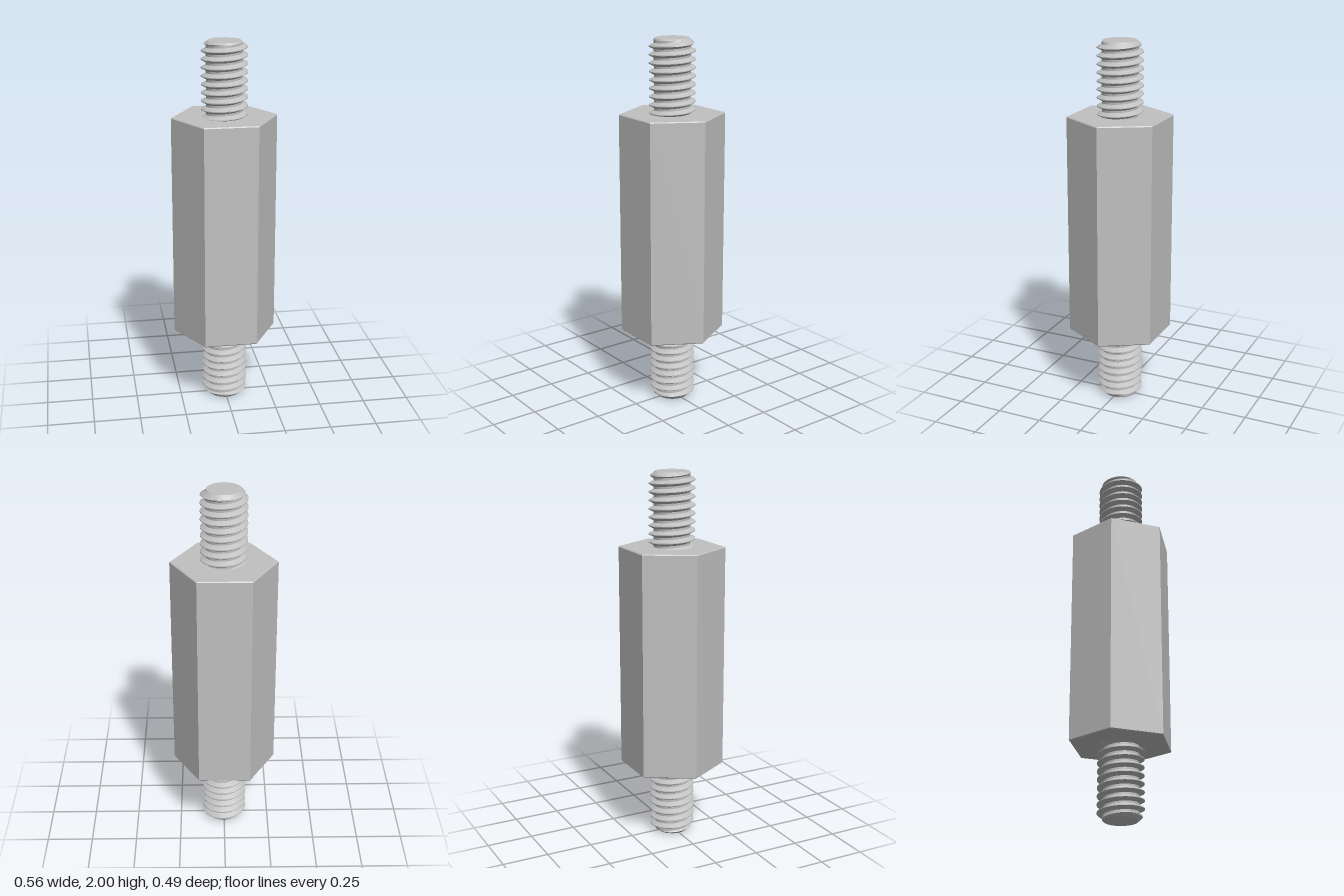
import * as THREE from 'three';
import { toCreasedNormals } from 'three/addons/utils/BufferGeometryUtils.js';

const CENTER = 1;
const BODY_HALF = 0.606;   // half height of the hexagonal body
const HEX_R = 0.281;       // across corners / 2
const CHAMFER = 0.005;
const CREST_R = 0.122, ROOT_R = 0.096, TIP_R = 0.088;
const PITCH = 0.0437;

// Hexagonal prism with a fine chamfer on both ends
function hexBody() {
  const profile = [
    [0, -BODY_HALF], [HEX_R - CHAMFER, -BODY_HALF], [HEX_R, -BODY_HALF + CHAMFER],
    [HEX_R, BODY_HALF - CHAMFER], [HEX_R - CHAMFER, BODY_HALF], [0, BODY_HALF],
  ].map(([r, y]) => new THREE.Vector2(r, y));
  const geo = new THREE.LatheGeometry(profile, 6).toNonIndexed();
  geo.computeVertexNormals();
  return geo.rotateY(Math.PI / 6);
}

// Right-handed helical thread from y0 up to a chamfered tip at y1
function threadGeometry(y0, y1, segments = 64) {
  // One pitch of the thread: [fraction of pitch, radius]
  const mid = (CREST_R + ROOT_R) / 2;
  const tooth = [[0, CREST_R], [0.1, CREST_R], [0.26, mid], [0.42, ROOT_R], [0.68, ROOT_R], [0.84, mid]];
  const rows = [];
  const turns = Math.ceil((y1 - y0) / PITCH) + 1;
  for (let k = -1; k < turns; k++) {
    for (const [f, r] of tooth) rows.push([y0 + (k + f) * PITCH, r]);
  }

  const positions = [], index = [];
  for (const [base, r] of rows) {
    for (let i = 0; i <= segments; i++) {
      const a = (i / segments) * Math.PI * 2;
      const y = THREE.MathUtils.clamp(base + (i / segments) * PITCH, y0, y1);
      const radius = Math.min(r, TIP_R + (y1 - y) * 1.1);
      positions.push(radius * Math.cos(a), y, -radius * Math.sin(a));
    }
  }
  const height = (v) => positions[v * 3 + 1];
  const addFace = (a, b, c) => {
    const ys = [height(a), height(b), height(c)];
    if (Math.max(...ys) - Math.min(...ys) > 1e-7) index.push(a, b, c);
  };
  const stride = segments + 1;
  for (let j = 0; j < rows.length - 1; j++) {
    for (let i = 0; i < segments; i++) {
      const a = j * stride + i, b = a + 1, c = a + stride, d = c + 1;
      addFace(a, b, d);
      addFace(a, d, c);
    }
  }
  const geo = new THREE.BufferGeometry();
  geo.setAttribute('position', new THREE.Float32BufferAttribute(positions, 3));
  geo.setIndex(index);
  return toCreasedNormals(geo, 0.5);
}

// Threaded stud with its flat end face
function stud(name, material) {
  const group = new THREE.Group();
  group.name = name;
  const thread = new THREE.Mesh(threadGeometry(BODY_HALF - 0.03, 1), material);
  thread.name = 'thread';
  const tip = new THREE.Mesh(new THREE.CircleGeometry(TIP_R, 64).rotateX(-Math.PI / 2), material);
  tip.name = 'endFace';
  tip.position.y = 1;
  group.add(thread, tip);
  group.position.y = CENTER;
  return group;
}

export function createModel() {
  const steel = new THREE.MeshStandardMaterial({ color: 0xc0c0c0 });
  steel.name = 'steel';

  const model = new THREE.Group();
  model.name = 'hexStandoff';

  const body = new THREE.Mesh(hexBody(), steel);
  body.name = 'hexBody';
  body.position.y = CENTER;

  // The lower stud is the upper one turned over, keeping the thread right-handed
  const upper = stud('upperStud', steel);
  const lower = stud('lowerStud', steel);
  lower.rotation.x = Math.PI;

  model.add(body, upper, lower);
  return model;
}
